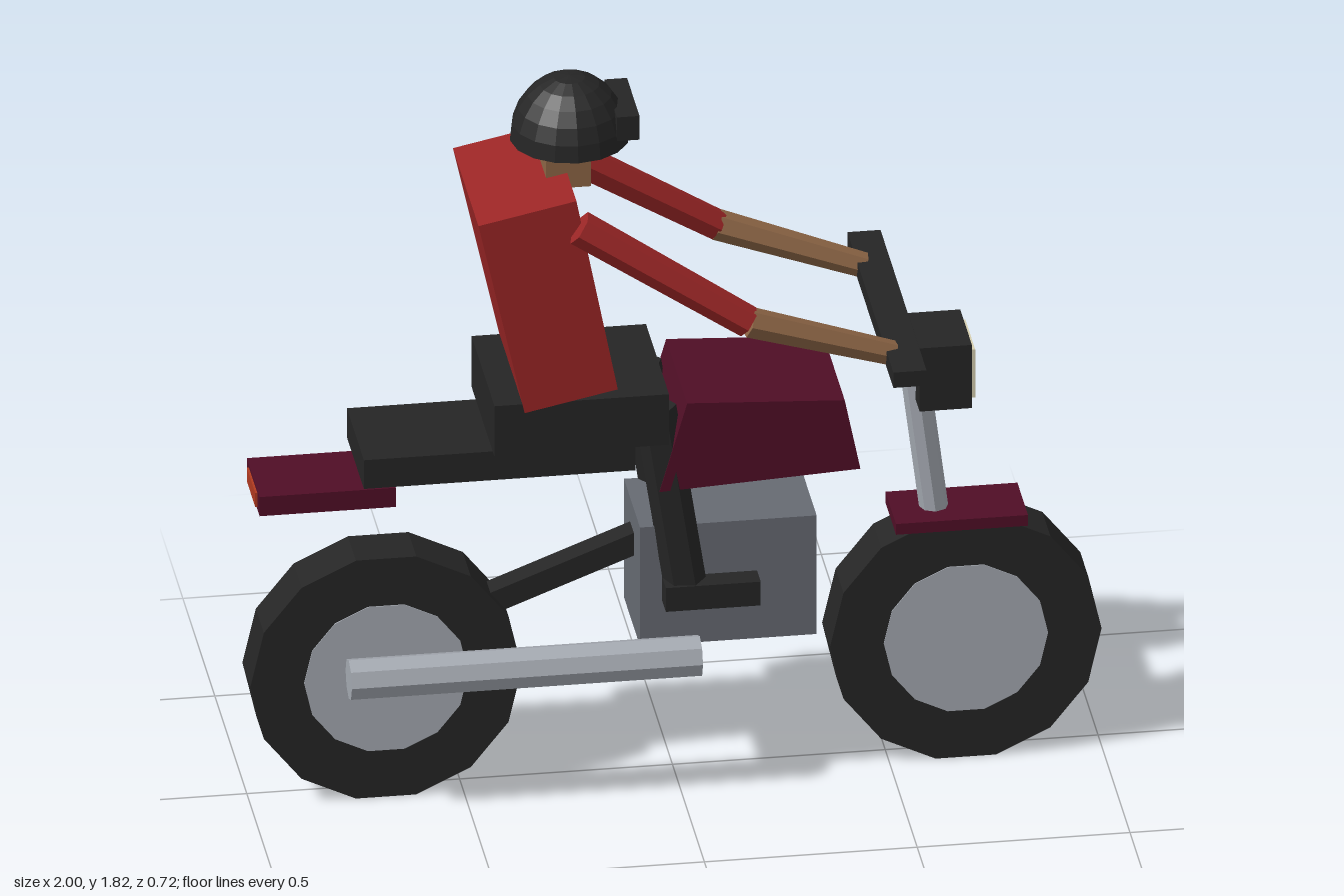
import * as THREE from 'three';

const mat = (name, color) => {
  const m = new THREE.MeshStandardMaterial({ color, flatShading: true });
  m.name = name;
  return m;
};

export function createModel() {
  const model = new THREE.Group();
  model.name = 'motorcycleAndRider';
  const red = mat('jacket red', 0x9c2626);
  const maroon = mat('body maroon', 0x500e26);
  const black = mat('matte black', 0x252525);
  const grey = mat('engine grey', 0x666a72);
  const silver = mat('silver metal', 0xa4a9b1);
  const skin = mat('skin', 0x8c6545);
  const cream = mat('lamp cream', 0xd6cfb0);
  const tailRed = mat('tail lamp red', 0xb03a20);

  const add = (name, geometry, material, x = 0, y = 0, z = 0) => {
    const mesh = new THREE.Mesh(geometry, material);
    mesh.name = name;
    mesh.position.set(x, y, z);
    model.add(mesh);
    return mesh;
  };
  // Box from its x range, y range and full width in z
  const box = (name, material, x0, x1, y0, y1, width, z = 0) =>
    add(name, new THREE.BoxGeometry(x1 - x0, y1 - y0, width), material, (x0 + x1) / 2, (y0 + y1) / 2, z);
  // Faceted rod between two points
  const rod = (name, material, a, b, ra, rb, sides) => {
    const from = new THREE.Vector3(...a);
    const to = new THREE.Vector3(...b);
    const dir = to.clone().sub(from);
    const mesh = add(name, new THREE.CylinderGeometry(rb, ra, dir.length(), sides), material);
    mesh.position.copy(from).add(to).multiplyScalar(0.5);
    mesh.quaternion.setFromUnitVectors(new THREE.Vector3(0, 1, 0), dir.normalize());
    return mesh;
  };

  // Wheels
  for (const [name, x] of [['rear', -0.682], ['front', 0.68]]) {
    const disc = (r, w) => new THREE.CylinderGeometry(r, r, w, 14).rotateY(Math.PI / 2).rotateX(Math.PI / 2);
    for (const [part, r, w, m] of [['Tire', 0.319, 0.125, black], ['Hub', 0.193, 0.13, silver]]) {
      const g = new THREE.CylinderGeometry(r, r, w, 14);
      g.rotateY(Math.PI / 2).rotateX(Math.PI / 2);
      add(name + part, g, m, x, 0.316, 0);
    }
  }

  // Engine, swing arm and exhaust
  box('engine', grey, -0.095, 0.32, 0.385, 0.695, 0.25);
  const arm = add('swingArm', new THREE.BoxGeometry(0.66, 0.055, 0.06), black, -0.36, 0.5, 0);
  arm.rotation.z = 0.37;
  rod('exhaust', silver, [-0.785, 0.37, 0.163], [0.04, 0.37, 0.163], 0.05, 0.05, 8);

  // Tank: side profile extruded across
  const tank = new THREE.Shape([[-0.055, 0.805], [0.417, 0.83], [0.38, 1.012], [0.01, 1.032]]
    .map(([x, y]) => new THREE.Vector2(x, y)));
  add('fuelTank', new THREE.ExtrudeGeometry(tank, { depth: 0.33, bevelEnabled: false }), maroon, 0, 0, -0.165);

  // Seat and tail
  box('seat', black, -0.745, -0.107, 0.85, 0.925, 0.267);
  box('tailFender', maroon, -0.985, -0.665, 0.78, 0.83, 0.2);
  box('tailLamp', tailRed, -0.99, -0.984, 0.787, 0.823, 0.13);

  // Fork, front fender, handlebar and headlight
  rod('fork', silver, [0.618, 0.6, 0], [0.564, 1.03, 0], 0.034, 0.034, 8);
  box('frontFender', maroon, 0.513, 0.823, 0.608, 0.636, 0.166);
  box('handlebar', black, 0.465, 0.543, 1.137, 1.177, 0.72);
  box('headlight', black, 0.567, 0.69, 0.93, 1.095, 0.182);
  box('headlightLens', cream, 0.688, 0.7, 0.95, 1.075, 0.154);

  // Rider torso: box narrowed toward the waist, leaning back
  const torso = new THREE.BoxGeometry(0.235, 0.517, 0.4);
  const p = torso.attributes.position;
  for (let i = 0; i < p.count; i++) {
    if (p.getY(i) < 0) p.setXYZ(i, p.getX(i) * 0.95, p.getY(i), p.getZ(i) * 0.925);
  }
  add('torso', torso, red, -0.318, 1.322, 0).rotation.z = 0.205;
  box('hips', black, -0.445, -0.035, 0.935, 1.067, 0.36);
  box('neck', skin, -0.305, -0.2, 1.56, 1.64, 0.11);

  // Helmet: closed dome with a visor
  const dome = [new THREE.Vector2(0, 0)];
  for (let i = 0; i <= 6; i++) {
    const a = (i / 6) * Math.PI / 2;
    dome.push(new THREE.Vector2(i === 6 ? 0 : 0.14 * Math.cos(a), 0.16 * Math.sin(a)));
  }
  add('helmet', new THREE.LatheGeometry(dome, 16), black, -0.242, 1.666, 0);
  box('visor', black, -0.145, -0.092, 1.695, 1.757, 0.195);

  // Arms and legs, mirrored
  for (const [side, s] of [['right', 1], ['left', -1]]) {
    rod(side + 'UpperArm', red, [-0.25, 1.533, 0.208 * s], [0.142, 1.278, 0.25 * s], 0.042, 0.038, 6);
    rod(side + 'Forearm', skin, [0.142, 1.278, 0.25 * s], [0.485, 1.158, 0.225 * s], 0.037, 0.03, 6);
    rod(side + 'Leg', black, [-0.058, 1.0, 0.112 * s], [0.012, 0.53, 0.135 * s], 0.05, 0.05, 6);
    box(side + 'Foot', black, -0.043, 0.18, 0.5, 0.562, 0.09, 0.138 * s);
  }

  return model;
}
